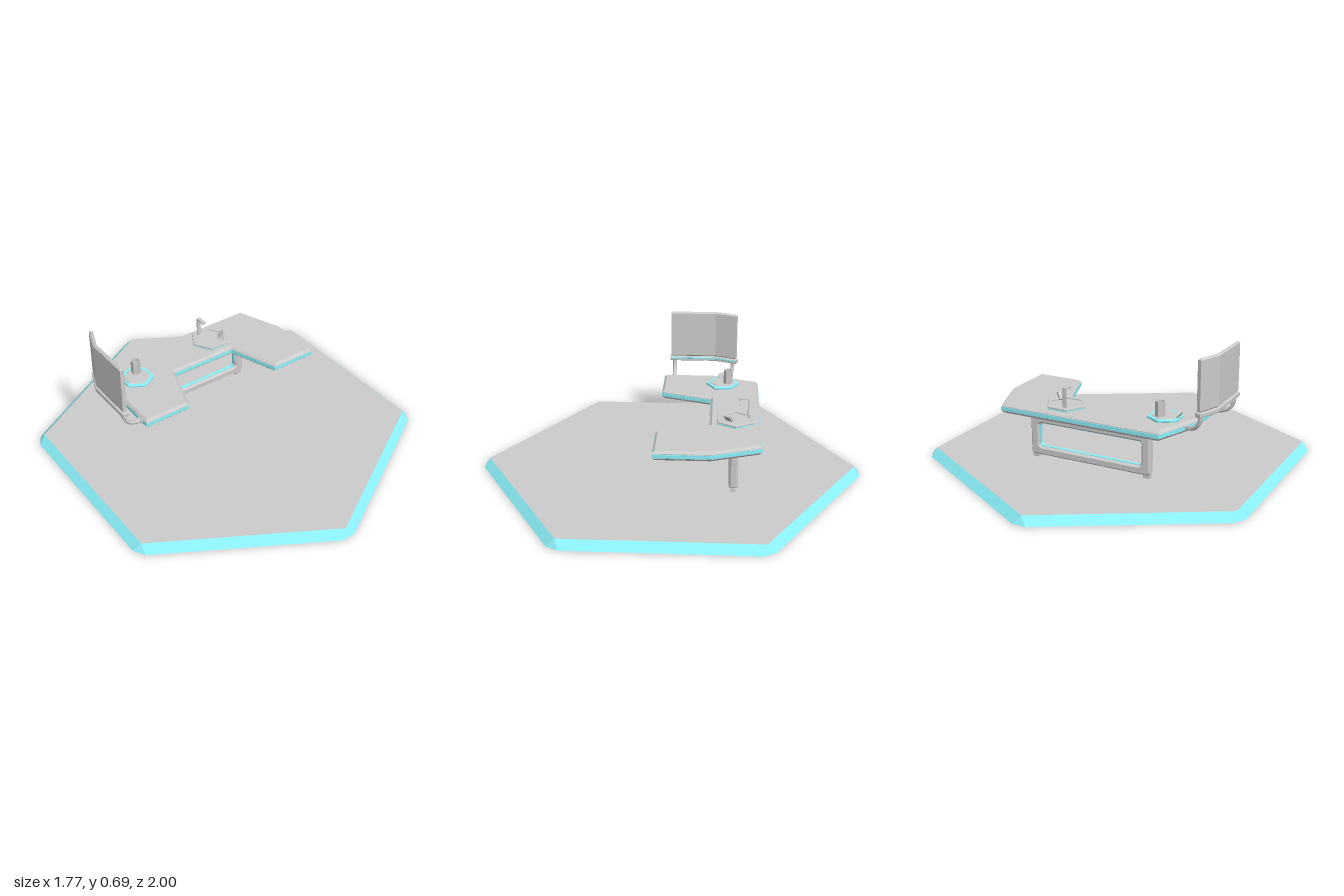
import * as THREE from 'three';

const mat = (color) => new THREE.MeshStandardMaterial({ color, flatShading: true, side: THREE.DoubleSide });
const grey = mat(0xcccccc), cyan = mat(0x8bf0fa), pale = mat(0xfefbfd);

function add(parent, name, geo, material = grey, x = 0, y = 0, z = 0) {
  const m = new THREE.Mesh(geo, material);
  m.name = name;
  m.position.set(x, y, z);
  parent.add(m);
  return m;
}

const vec2 = (pts) => pts.map(([x, y]) => new THREE.Vector2(x, y));

// Flat slab over a plan outline of [x, z], with chamfered rims; grow widens it.
function slab(plan, y0, y1, bevel, grow = 0) {
  const shape = new THREE.Shape(vec2(plan.map(([x, z]) => [x, -z])));
  const geo = new THREE.ExtrudeGeometry(shape, {
    depth: y1 - y0 - 2 * bevel, bevelThickness: bevel, bevelSize: bevel,
    bevelOffset: grow - bevel, bevelSegments: 1,
  });
  return geo.translate(0, 0, bevel).rotateX(-Math.PI / 2).translate(0, y0, 0);
}

const hexagon = (r, start = 0) => Array.from({ length: 6 }, (_, i) => {
  const a = start + i * Math.PI / 3;
  return [r * Math.cos(a), r * Math.sin(a)];
});

// Rectangle with cut corners
function cutRect(x, y0, y1, c) {
  return vec2([[-x + c, y0], [x - c, y0], [x, y0 + c], [x, y1 - c],
    [x - c, y1], [-x + c, y1], [-x, y1 - c], [-x, y0 + c]]);
}

function triangles(list) {
  const g = new THREE.BufferGeometry();
  g.setAttribute('position', new THREE.Float32BufferAttribute(list.flat(), 3));
  g.computeVertexNormals();
  return g;
}

// Hexagonal base, hollow below: sharp top corners, blunted bottom corners, sloping rim
function buildPlatform() {
  const g = new THREE.Group();
  g.name = 'platform';
  const top = [], low = [];
  for (let i = 0; i < 6; i++) {
    const a = Math.PI / 6 + i * Math.PI / 3;
    const c = Math.cos(a), s = Math.sin(a);
    top.push([0.975 * c, 0.04, 0.975 * s]);
    low.push([-1, 1].map((k) => [c - 0.035 * k * s, 0, s + 0.035 * k * c]));
  }
  const rim = [], lid = [];
  for (let i = 0; i < 6; i++) {
    const j = (i + 1) % 6;
    const [a, b] = low[i], n = low[j][0];
    rim.push(top[i], b, a, top[i], n, b, top[i], top[j], n);
    lid.push([0, 0.04, 0], top[j], top[i]);
  }
  add(g, 'platformRim', triangles(rim), cyan);
  add(g, 'platformTop', triangles(lid), pale);
  return g;
}

function buildDesk() {
  const g = new THREE.Group();
  g.name = 'desk';
  const half = [[0.437, -0.466], [0.529, -0.22], [0.529, 0.06], [0.277, 0.06], [0.185, -0.207]];
  const plan = [...half, ...half.map(([x, z]) => [-x, z]).reverse()];
  add(g, 'deskTop', slab(plan, 0.295, 0.345, 0.012));
  add(g, 'deskStripe', slab(plan, 0.309, 0.329, 0.001, 0.002), cyan);

  // Open rectangular leg frame
  const frame = new THREE.Shape(cutRect(0.33, 0.065, 0.275, 0.008));
  frame.holes.push(new THREE.Path(cutRect(0.3, 0.092, 0.238, 0.016)));
  add(g, 'legFrame', new THREE.ExtrudeGeometry(frame, {
    depth: 0.025, bevelThickness: 0.01, bevelSize: 0.009, bevelSegments: 1,
  }), grey, 0, 0, -0.345);

  // Coloured lining inside the frame
  const liner = new THREE.Shape(cutRect(0.296, 0.096, 0.234, 0.015));
  liner.holes.push(new THREE.Path(cutRect(0.288, 0.104, 0.226, 0.012)));
  add(g, 'frameLining', new THREE.ExtrudeGeometry(liner, { depth: 0.018, bevelEnabled: false }),
    cyan, 0, 0, -0.3415);

  for (const s of [-1, 1]) {
    add(g, 'foot', new THREE.BoxGeometry(0.034, 0.025, 0.026), grey, s * 0.317, 0.0495, -0.3325);
    add(g, 'frameMount', new THREE.BoxGeometry(0.034, 0.02, 0.026), grey, s * 0.317, 0.29, -0.3325);
  }
  return g;
}

// Bent upright screen carried by two curved arms
function buildScreen() {
  const g = new THREE.Group();
  g.name = 'sideScreen';
  const plan = [[-0.638, 0.028], [-0.638, -0.23], [-0.592, -0.348],
    [-0.573, -0.341], [-0.617, -0.226], [-0.617, 0.028]];
  add(g, 'screenPanel', slab(plan, 0.424, 0.688, 0.008));
  add(g, 'screenRail', slab(plan, 0.4, 0.425, 0.004, 0.006));
  // Stripe shows on the inner face only
  add(g, 'screenStripe', slab(plan, 0.412, 0.42, 0.001), cyan, 0.009, 0, 0);
  const arms = [
    [[-0.627, 0.405, 0.008], [-0.53, 0.32, 0.008]],
    [[-0.587, 0.405, -0.325], [-0.495, 0.32, -0.29]],
  ];
  for (const [a, b] of arms) {
    const p = new THREE.Vector3(...a), q = new THREE.Vector3(...b);
    const path = new THREE.CubicBezierCurve3(p, new THREE.Vector3(a[0], 0.35, a[2]),
      new THREE.Vector3().lerpVectors(p, q, 0.35).setY(0.32), q);
    add(g, 'screenArm', new THREE.TubeGeometry(path, 10, 0.011, 6));
    add(g, 'armMount', new THREE.BoxGeometry(0.03, 0.022, 0.032), grey, b[0] + 0.005, 0.32, b[2]);
  }
  return g;
}

// Hexagonal stand with a beaker and a small tilted disc
function buildBeakerStand() {
  const g = new THREE.Group();
  g.name = 'beakerStand';
  g.position.set(-0.38, 0.344, -0.27);
  add(g, 'standEdge', slab(hexagon(0.09, Math.PI / 6), 0, 0.012, 0.002), cyan);
  add(g, 'standTop', new THREE.CylinderGeometry(0.066, 0.073, 0.006, 6), grey, 0, 0.014, 0);
  const wall = vec2([[0, 0], [0.025, 0], [0.025, 0.076], [0.019, 0.076], [0.019, 0.055], [0, 0.055]]);
  add(g, 'beaker', new THREE.LatheGeometry(wall, 6), grey, 0.014, 0.017, -0.03);
  const disc = add(g, 'tiltedDisc', new THREE.CylinderGeometry(0.03, 0.03, 0.005, 10),
    grey, -0.075, 0.026, 0);
  disc.scale.x = 0.55;
  disc.rotation.z = -1.1;
  return g;
}

// Hexagonal basin with a bent spout and a small tilted panel
function buildBasin() {
  const g = new THREE.Group();
  g.name = 'basin';
  g.position.set(0.1325, 0.344, -0.339);
  add(g, 'basinEdge', slab(hexagon(0.108), 0, 0.007, 0.001), cyan);
  const rim = new THREE.Shape(vec2(hexagon(0.108)));
  rim.holes.push(new THREE.Path(vec2(hexagon(0.083))));
  add(g, 'basinRim', new THREE.ExtrudeGeometry(rim, {
    depth: 0.007, bevelThickness: 0.003, bevelSize: 0.003, bevelOffset: -0.003, bevelSegments: 1,
  }).rotateX(-Math.PI / 2), grey, 0, 0.007, 0);
  add(g, 'basinFloor', slab(hexagon(0.09), 0.002, 0.009, 0.001));

  // Strip rising at the back, reaching forward and dipping at the tip
  const strip = new THREE.Shape(vec2([[0, 0], [0, 0.109], [0.053, 0.109], [0.053, 0.095],
    [0.046, 0.095], [0.046, 0.102], [0.007, 0.102], [0.007, 0]]));
  const spout = new THREE.ExtrudeGeometry(strip, { depth: 0.022, bevelEnabled: false });
  add(g, 'spout', spout.rotateY(-Math.PI / 2).scale(1, 1, 1), grey, -0.016, 0.006, -0.068);

  const panel = add(g, 'tiltedPanel', new THREE.BoxGeometry(0.012, 0.045, 0.036), grey,
    0.05, 0.035, 0.038);
  panel.rotation.set(0, -Math.PI / 6, -0.7);
  return g;
}

export function createModel() {
  const model = new THREE.Group();
  model.name = 'deskOnPlatform';
  model.add(buildPlatform(), buildDesk(), buildScreen(), buildBeakerStand(), buildBasin());
  return model;
}
